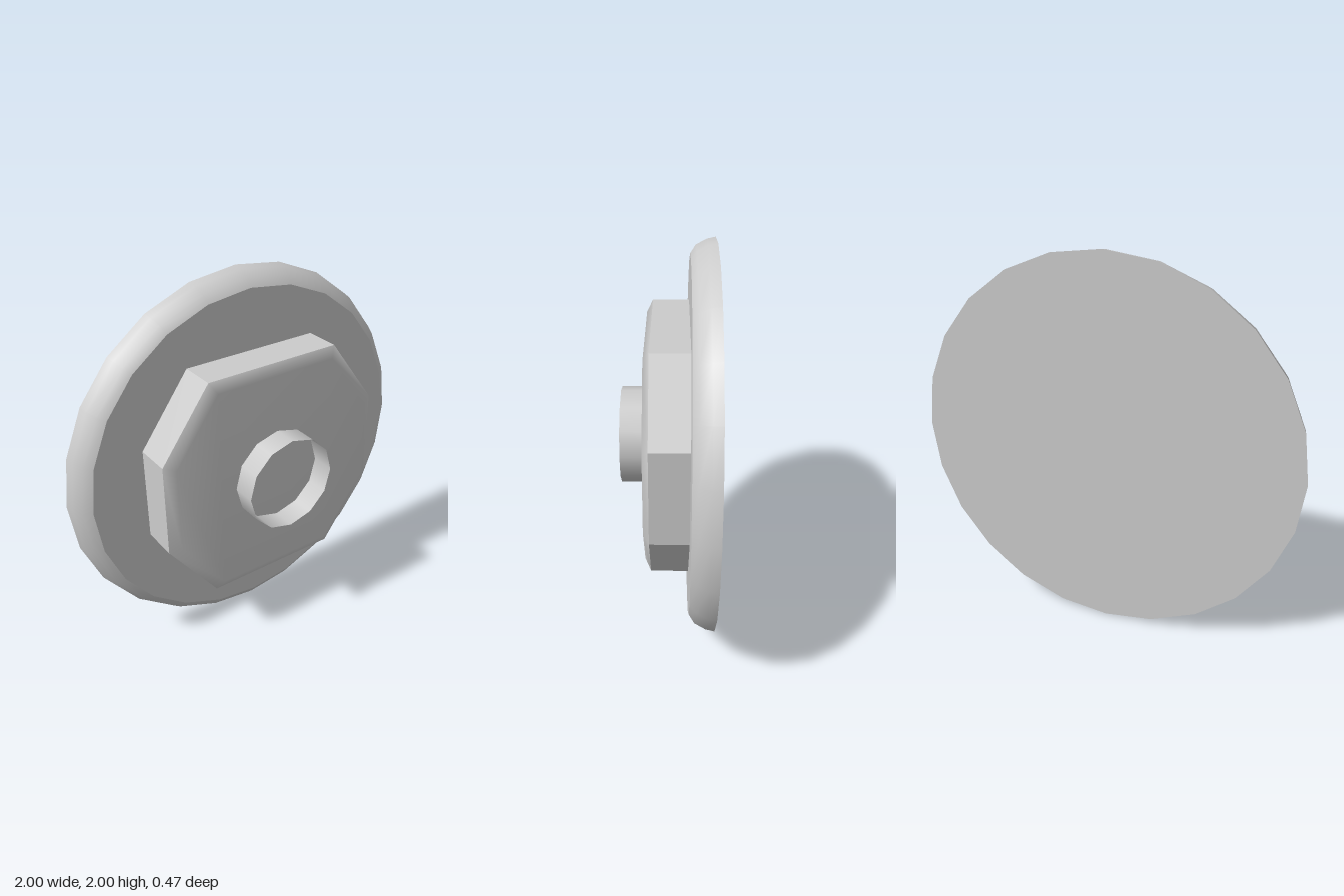
import * as THREE from 'three';

const BACK = -0.235, PLATE_FRONT = -0.11, BLOCK_EDGE = 0.08, BLOCK_FRONT = 0.11, FRONT = 0.235;

// Geometry from loops of [x, y, z] corners, skinned with quads
function skinLoops(loops, extraFaces = []) {
  const n = loops[0].length;
  const index = [...extraFaces];
  for (let l = 0; l < loops.length - 1; l++) {
    for (let i = 0; i < n; i++) {
      const a = l * n + i, b = l * n + (i + 1) % n;
      index.push(a, b, b + n, a, b + n, a + n);
    }
  }
  const geometry = new THREE.BufferGeometry();
  geometry.setAttribute('position', new THREE.Float32BufferAttribute(loops.flat(2), 3));
  geometry.setIndex(index);
  return geometry;
}

export function createModel() {
  const model = new THREE.Group();
  const grey = new THREE.MeshStandardMaterial({ color: 0xcccccc });
  const open = new THREE.MeshStandardMaterial({ color: 0xcccccc, side: THREE.DoubleSide });

  function add(name, geometry, material = grey) {
    geometry.translate(0, 1, 0);
    const mesh = new THREE.Mesh(geometry, material);
    mesh.name = name;
    model.add(mesh);
  }

  // Round base plate: rounded rim with a flat front and back
  const rimProfile = [[1, BACK], [0.99, -0.19], [0.962, -0.137], [0.92, PLATE_FRONT]]
    .map(([r, z]) => new THREE.Vector2(r, z));
  add('plateRim', new THREE.LatheGeometry(rimProfile, 24).rotateX(Math.PI / 2));
  add('plateFront', new THREE.CircleGeometry(0.92, 24).translate(0, 0, PLATE_FRONT));
  add('plateBack', new THREE.CircleGeometry(1, 24).rotateY(Math.PI).translate(0, 0, BACK));

  // Eight-sided block: flat walls, and a front softly shaded into its chamfer
  const octagon = [[0.635, -0.245], [0.635, 0.245], [0.37, 0.605], [-0.37, 0.605],
    [-0.635, 0.245], [-0.635, -0.245], [-0.37, -0.605], [0.37, -0.605]];
  const loop = (scale, z) => octagon.map(([x, y]) => [x * scale, y * scale, z]);

  const walls = skinLoops([loop(1, PLATE_FRONT), loop(1, BLOCK_EDGE)]).toNonIndexed();
  walls.computeVertexNormals();
  add('blockWalls', walls);

  const faces = [[0, 1, 2, 7], [7, 2, 3, 6], [6, 3, 4, 5]]
    .flatMap(([a, b, c, d]) => [a, b, c, a, c, d]).map((i) => i + 8);
  const front = skinLoops([loop(1, BLOCK_EDGE), loop(0.91, BLOCK_FRONT)], faces);
  front.computeVertexNormals();
  add('blockFront', front);

  // Thin open collar in the middle
  const collar = new THREE.CylinderGeometry(0.25, 0.25, FRONT - BLOCK_FRONT, 12, 1, true);
  collar.rotateX(Math.PI / 2).translate(0, 0, (FRONT + BLOCK_FRONT) / 2);
  add('collar', collar, open);

  return model;
}
